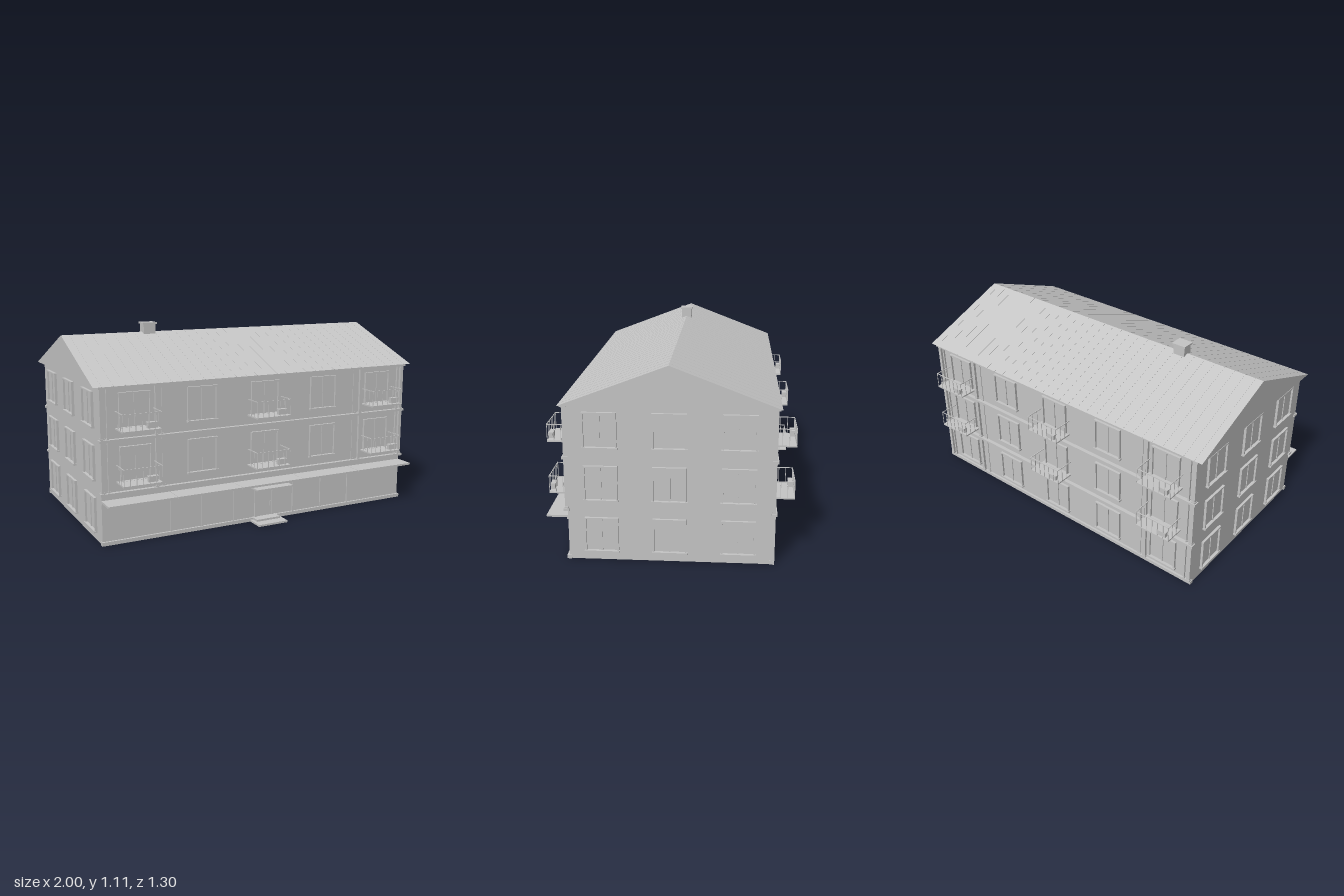
import * as THREE from 'three';

const grey = new THREE.MeshStandardMaterial({ color: 0xc6c6c6 });
grey.name = 'plain grey';

const ZC = -0.008;          // centre line of the house
const HX = 0.963;           // half length of the walls
const HZ = 0.528;           // half depth of the walls
const COLUMNS = [-0.772, -0.387, 0, 0.387, 0.772];
const FLOORS = [0.048, 0.331, 0.615];   // window sill heights

function group(name, parent) {
  const g = new THREE.Group();
  g.name = name;
  if (parent) parent.add(g);
  return g;
}

// Box given by its limits on each axis
function box(parent, name, x0, x1, y0, y1, z0, z1) {
  const mesh = new THREE.Mesh(new THREE.BoxGeometry(x1 - x0, y1 - y0, z1 - z0), grey);
  mesh.position.set((x0 + x1) / 2, (y0 + y1) / 2, (z0 + z1) / 2);
  mesh.name = name;
  parent.add(mesh);
  return mesh;
}

// Two-leaf window on a wall at depth z, facing +z
function addWindow(parent, x, y, z, w = 0.176, h = 0.19) {
  const g = group('window', parent);
  g.position.set(x, y, z);
  const a = w / 2, t = 0.008, d = 0.014;
  box(g, 'glass', -a + t, a - t, t, h - t, -0.002, 0.003);
  box(g, 'frameLeft', a - t, a, 0, h, 0, d);
  box(g, 'frameRight', -a, -a + t, 0, h, 0, d);
  box(g, 'frameTop', -a, a, h - t, h, 0, d);
  box(g, 'windowSill', -a - 0.004, a + 0.004, -0.003, t - 0.001, 0, d + 0.005);
  box(g, 'mullion', -0.004, 0.004, t, h - t, 0, 0.008);
}

// Balcony slab with a bar railing and a small cabinet
function addBalcony(parent, x, y, z) {
  const g = group('balcony', parent);
  g.position.set(x, y, z);
  const a = 0.107, d = 0.114, h = 0.097, r = 0.0015;
  box(g, 'balconyFloor', -a, a, 0, 0.008, 0, d);
  box(g, 'frontRail', -a, a, h - 0.004, h, d - 0.004, d);
  for (const s of [-1, 1]) {
    const sx = s * (a - 0.002);
    box(g, 'sideRail', sx - 0.002, sx + 0.002, h - 0.004, h, 0, d);
    for (let i = 0; i < 3; i++) {
      const bz = d - 0.002 - i * 0.036;
      box(g, 'sideBar', sx - r, sx + r, 0.008, h, bz - r, bz + r);
    }
  }
  for (let i = 1; i < 6; i++) {
    const bx = -a + (i * 2 * a) / 6;
    box(g, 'frontBar', bx - r, bx + r, 0.008, h, d - 0.002 - r, d - 0.002 + r);
  }
  box(g, 'cabinet', 0.03, 0.084, 0.014, 0.04, d - 0.027, d - 0.005);
  box(g, 'cabinetTop', 0.028, 0.086, 0.04, 0.045, d - 0.029, d - 0.003);
}

// Long side: bands, pilasters, windows and balconies of the upper floors
function addFacade(parent, name, groundWindows) {
  const g = group(name, parent);
  for (const [y0, y1] of [[0.27, 0.283], [0.552, 0.566], [0.829, 0.842]]) {
    box(g, 'stringCourse', -HX - 0.008, HX + 0.008, y0, y1, HZ - 0.01, HZ + 0.022);
  }
  const storeys = [[0.283, 0.552], [0.566, 0.829]];
  if (groundWindows) storeys.unshift([0.02, 0.27]);
  for (const [y0, y1] of storeys) {
    for (const s of [-1, 1]) {
      for (const [c, w, d] of [[0.953, 0.02, 0.014], [0.923, 0.006, 0.01], [0.652, 0.018, 0.014], [0.612, 0.022, 0.004]]) {
        box(g, 'pilaster', s * c - w / 2, s * c + w / 2, y0, y1, HZ - 0.005, HZ + d);
        box(g, 'pilasterFoot', s * c - w / 2 - 0.002, s * c + w / 2 + 0.002, y0, y0 + 0.008, HZ - 0.005, HZ + d + 0.002);
      }
    }
  }
  FLOORS.forEach((y, floor) => {
    if (floor === 0 && !groundWindows) return;
    COLUMNS.forEach((x, i) => {
      addWindow(g, x, y, HZ);
      if (floor > 0 && i % 2 === 0) addBalcony(g, x, y - 0.002, HZ);
    });
  });
  return g;
}

// Ground floor of the front: panels, entrance and long canopy
function addShopFront(g) {
  for (const x of [-0.575, -0.393, -0.195, 0.193, 0.385, 0.578]) {
    box(g, 'panelPost', x - 0.004, x + 0.004, 0.02, 0.234, HZ - 0.005, HZ + 0.008);
  }
  box(g, 'panelTopRail', -HX, HX, 0.222, 0.234, HZ - 0.005, HZ + 0.006);
  const edges = [-HX, -0.579, -0.195, 0.193, 0.577, HX];
  for (let i = 0; i < 5; i++) {
    box(g, 'canopySection', edges[i], edges[i + 1] - (i < 4 ? 0.002 : 0), 0.232, 0.243, HZ - 0.005, HZ + 0.113);
  }
  const door = group('entrance', g);
  box(door, 'door', -0.052, 0.052, 0.02, 0.192, HZ - 0.005, HZ + 0.004);
  for (const s of [-1, 1]) {
    box(door, 'doorJamb', s * 0.056 - 0.005, s * 0.056 + 0.005, 0.02, 0.192, HZ - 0.005, HZ + 0.01);
  }
  box(door, 'doorLintel', -0.072, 0.072, 0.19, 0.202, HZ - 0.005, HZ + 0.012);
  box(door, 'doorHandle', 0.036, 0.04, 0.075, 0.105, HZ, HZ + 0.013);
  box(door, 'doorCanopy', -0.114, 0.114, 0.212, 0.221, HZ - 0.005, HZ + 0.132);
  box(door, 'lowerStep', -0.092, 0.092, 0, 0.011, HZ - 0.005, HZ + 0.115);
  box(door, 'upperStep', -0.075, 0.075, 0.011, 0.022, HZ - 0.005, HZ + 0.06);
}

// Gabled roof with fine seams
function addRoof(parent) {
  const g = group('roof', parent);
  const half = 0.558, eave = 0.842, ridge = 1.055;
  const gable = new THREE.Shape();
  gable.moveTo(-half, eave);
  gable.lineTo(half, eave);
  gable.lineTo(0, ridge);
  gable.closePath();
  const geo = new THREE.ExtrudeGeometry(gable, { depth: 2, bevelEnabled: false });
  geo.translate(0, 0, -1).rotateY(Math.PI / 2);
  const body = new THREE.Mesh(geo, grey);
  body.name = 'gableRoof';
  g.add(body);
  const rise = ridge - eave, len = Math.hypot(half, rise);
  const seamGeo = new THREE.BoxGeometry(0.003, 0.002, len - 0.004);
  for (const s of [-1, 1]) {
    for (let i = -15; i <= 15; i++) {
      const seam = new THREE.Mesh(seamGeo, grey);
      seam.name = 'roofSeam';
      seam.position.set(i * 0.0635, (eave + ridge) / 2, (s * half) / 2);
      seam.rotation.x = s * Math.atan2(rise, half);
      g.add(seam);
    }
  }
  box(g, 'chimney', -0.521, -0.449, 0.98, 1.1, -0.03, 0.03);
  box(g, 'chimneyCap', -0.528, -0.442, 1.1, 1.11, -0.038, 0.038);
}

export function createModel() {
  const model = group('apartmentHouse');
  const house = group('house', model);
  house.position.z = ZC;
  box(house, 'walls', -HX, HX, 0, 0.842, -HZ, HZ);
  for (const s of [-1, 1]) {
    box(house, 'plinth', -HX - 0.006, HX + 0.006, 0, 0.02, s * HZ - 0.012, s * HZ + 0.012);
  }

  addShopFront(addFacade(house, 'frontFacade', false));
  addFacade(house, 'backFacade', true).rotation.y = Math.PI;

  // Gable ends, three windows on each floor
  for (const s of [-1, 1]) {
    const end = group(s > 0 ? 'leftEnd' : 'rightEnd', house);
    end.rotation.y = (s * Math.PI) / 2;
    for (const y of FLOORS) {
      for (const x of [-0.353, 0, 0.353]) addWindow(end, x, y, HX);
    }
  }
  addRoof(house);
  return model;
}
